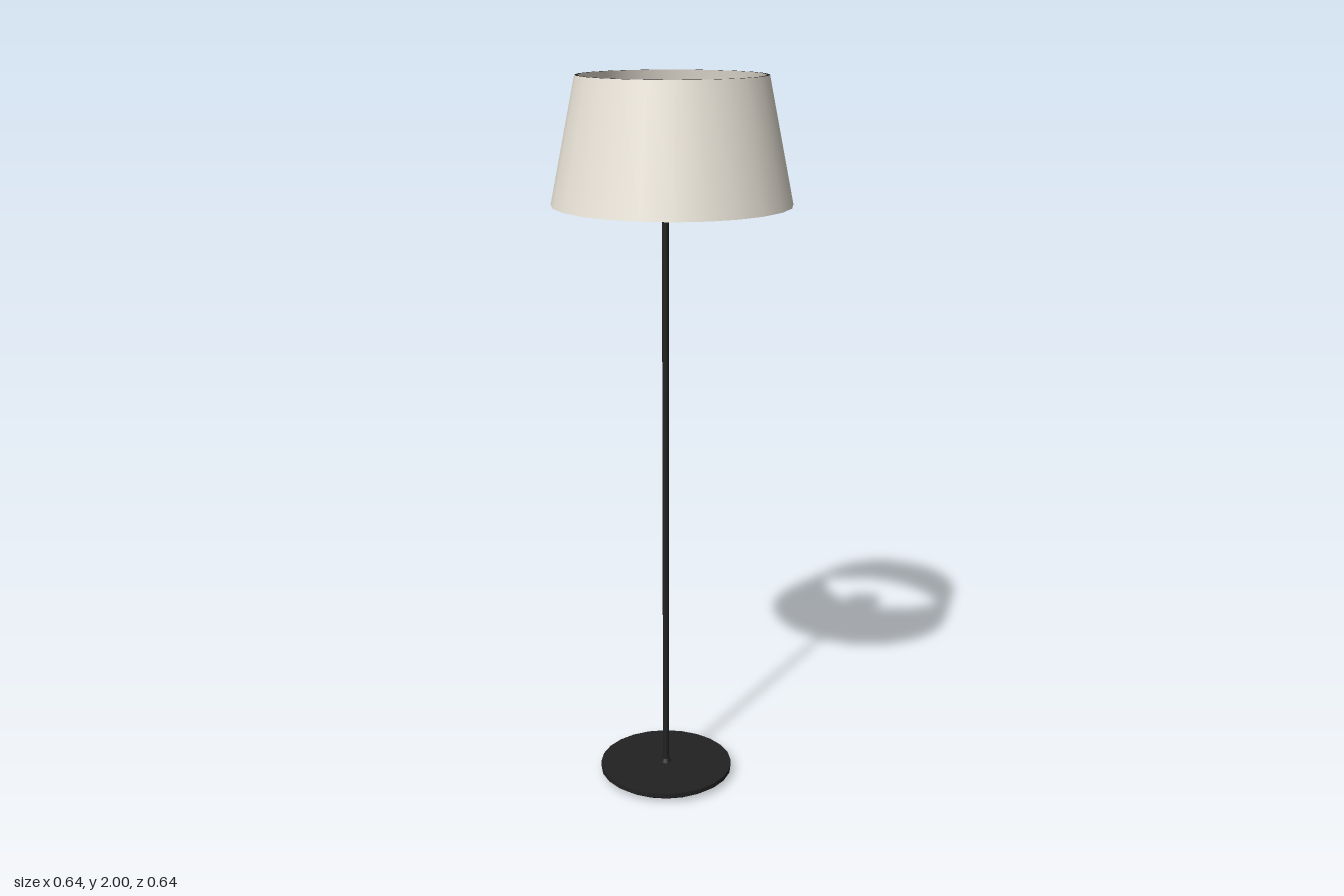
import * as THREE from 'three';

export function createModel() {
  const lamp = new THREE.Group();
  const SIDES = 24, PHASE = 0.105, POLE_X = -0.018;
  const black = new THREE.MeshStandardMaterial({ color: 0x222222 });
  const cream = new THREE.MeshStandardMaterial({ color: 0xece6da });

  const add = (name, geometry, material, x = 0, y = 0) => {
    const mesh = new THREE.Mesh(geometry, material);
    mesh.name = name;
    mesh.position.set(x, y, 0);
    mesh.rotation.y = PHASE;
    lamp.add(mesh);
    return mesh;
  };
  // Each profile segment is its own band, so corners stay crisp and the round smooth
  const turned = (name, points, material, x) => {
    for (let i = 0; i < points.length - 1; i++) {
      const band = [points[i], points[i + 1]].map(p => new THREE.Vector2(...p));
      add(name, new THREE.LatheGeometry(band, SIDES), material, x);
    }
  };

  // Disc foot with a bevelled underside
  turned('base', [[0, 0.004], [0.155, 0.004], [0.16, 0], [0.172, 0.004],
    [0.191, 0.017], [0.191, 0.03], [0, 0.03]], black, POLE_X);

  // Small collar and slim pole
  add('poleCollar', new THREE.CylinderGeometry(0.011, 0.016, 0.012, 16), black, POLE_X, 0.035);
  add('pole', new THREE.CylinderGeometry(0.009, 0.009, 1.68, 16), black, POLE_X, 0.865);

  // Round bulb on top of the pole
  add('bulb', new THREE.SphereGeometry(0.065, 32, 20), cream, POLE_X, 1.76);

  // Tapered open shade: outer and inner walls joined by dark rims
  const bottom = 1.667, top = 2;
  turned('shadeOuter', [[0.32, bottom], [0.252, top]], cream);
  turned('shadeInner', [[0.244, top], [0.312, bottom]], cream);
  turned('shadeTopRim', [[0.252, top], [0.244, top]], black);
  turned('shadeBottomRim', [[0.312, bottom], [0.32, bottom]], black);

  return lamp;
}
